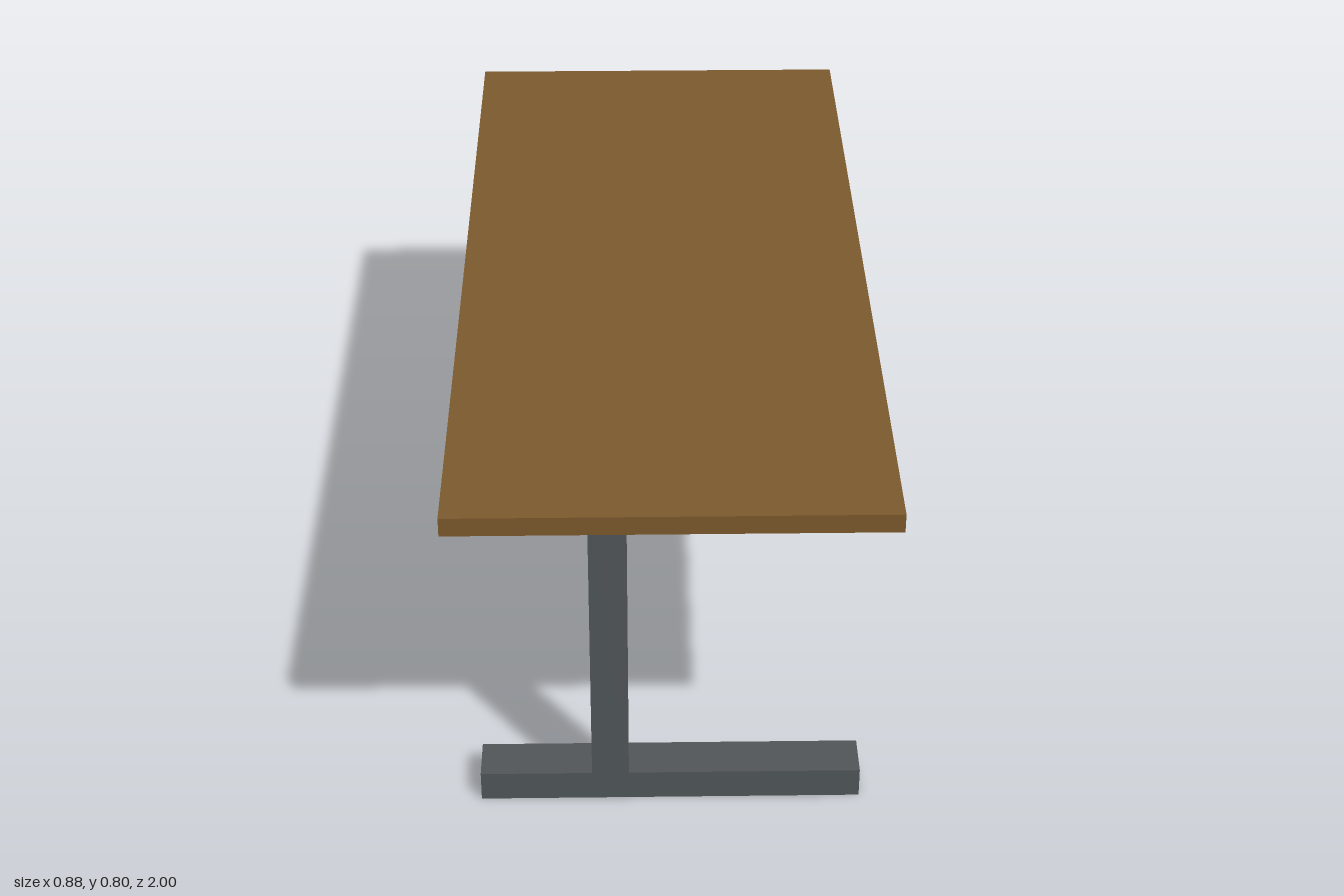
import * as THREE from 'three';

export function createModel() {
  const model = new THREE.Group();
  model.name = 'table';

  const wood = new THREE.MeshStandardMaterial({ color: 0x7d5a2e });
  wood.name = 'brown wood';
  const metal = new THREE.MeshStandardMaterial({ color: 0x515659 });
  metal.name = 'dark grey metal';

  // Flat rectangular top
  const top = new THREE.Mesh(new THREE.BoxGeometry(0.876, 0.04, 2), wood);
  top.name = 'tableTop';
  top.position.y = 0.778;
  model.add(top);

  // Inverted T outline: long foot with an off-centre post
  const outline = new THREE.Shape([
    [-0.392, 0], [0.392, 0], [0.392, 0.066], [-0.086, 0.066],
    [-0.086, 0.755], [-0.162, 0.755], [-0.162, 0.066], [-0.392, 0.066],
  ].map(([x, y]) => new THREE.Vector2(x, y)));
  const legGeometry = new THREE.ExtrudeGeometry(outline, { depth: 0.096, bevelEnabled: false });

  // One leg near each end, placed by its rear face
  for (const [name, z] of [['frontLeg', 0.771], ['backLeg', -0.858]]) {
    const leg = new THREE.Mesh(legGeometry, metal);
    leg.name = name;
    leg.position.z = z;
    model.add(leg);
  }

  return model;
}
